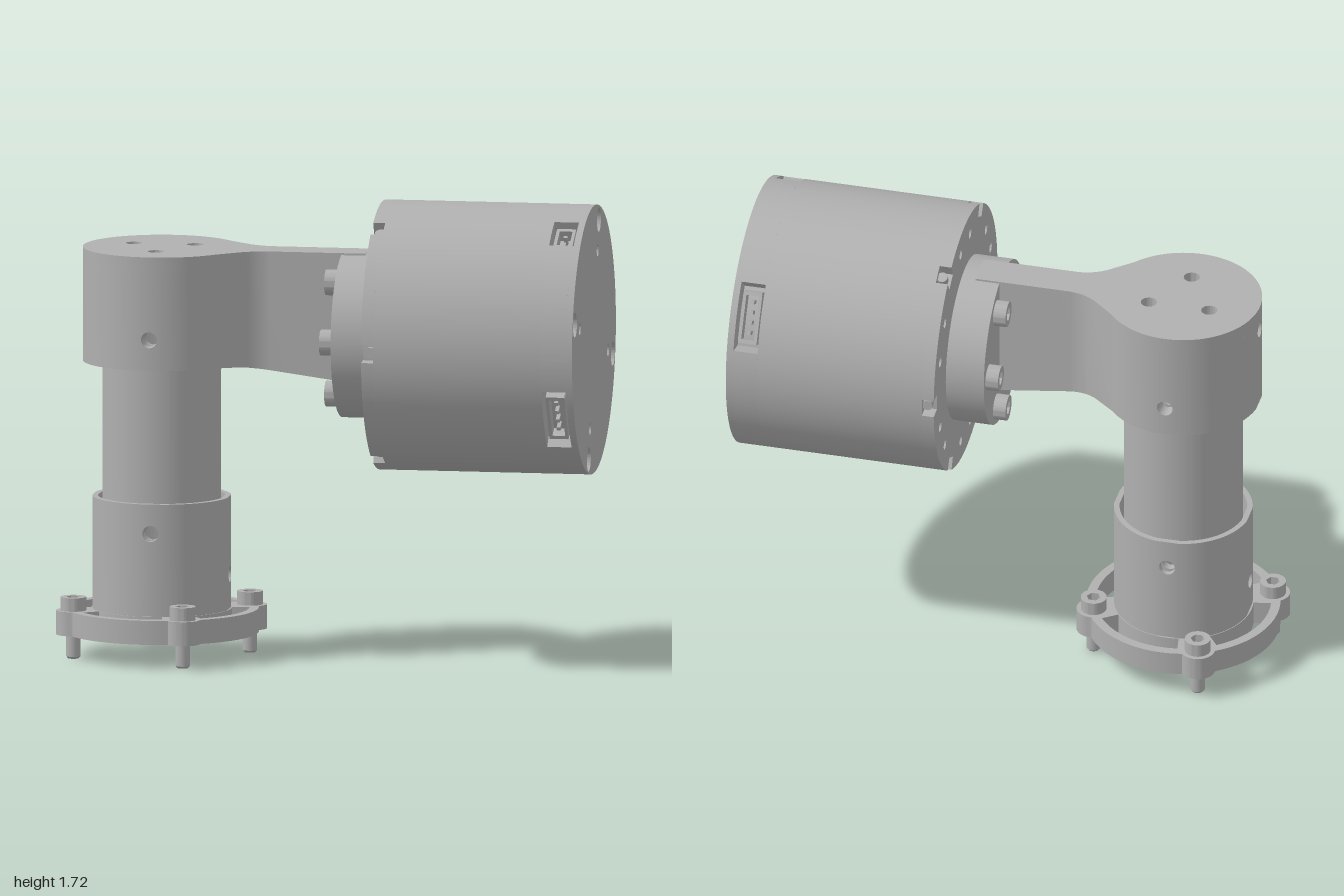
import * as THREE from 'three';
import { toCreasedNormals } from 'three/addons/utils/BufferGeometryUtils.js';

const TAU = Math.PI * 2, RAD = Math.PI / 180;
const POST_X = -0.625, MOTOR_Y = 1.22;
const metal = new THREE.MeshStandardMaterial({ color: 0xb0b0b0 });
metal.name = 'grey metal';

function add(parent, name, geometry, x = 0, y = 0, z = 0) {
  const mesh = new THREE.Mesh(geometry, metal);
  mesh.name = name;
  mesh.position.set(x, y, z);
  parent.add(mesh);
  return mesh;
}

function extrude(shape, depth, segs = 32) {
  return new THREE.ExtrudeGeometry(shape, { depth, bevelEnabled: false, curveSegments: segs });
}
// Extrusion standing on y0, and extrusion running along x from x0
const upright = (shape, y0, y1, segs) =>
  toCreasedNormals(extrude(shape, y1 - y0, segs).rotateX(-Math.PI / 2).translate(0, y0, 0), 0.5);
const sideways = (shape, x0, x1, segs) =>
  toCreasedNormals(extrude(shape, x1 - x0, segs).rotateY(Math.PI / 2).translate(x0, 0, 0), 0.5);

const circle = (x, y, r) => new THREE.Path().absarc(x, y, r, 0, TAU, true);
const polarHole = (deg, d, r) => circle(d * Math.cos(deg * RAD), d * Math.sin(deg * RAD), r);
function arcSlot(a0, a1, r0, r1) {
  const p = new THREE.Path();
  p.absarc(0, 0, r1, a0 * RAD, a1 * RAD, false);
  p.absarc(0, 0, r0, a1 * RAD, a0 * RAD, true);
  p.closePath();
  return p;
}
function disc(r) {
  return new THREE.Shape().absarc(0, 0, r, 0, TAU, false);
}
// Disc whose rim is cut by notches given as [angle, half width, depth] in degrees
function notchedDisc(r, notches) {
  const s = new THREE.Shape();
  notches.forEach(([a, half, depth], i) => {
    const next = notches[(i + 1) % notches.length];
    const end = next[0] - next[1] + (i === notches.length - 1 ? 360 : 0);
    s.absarc(0, 0, r - depth, (a - half) * RAD, (a + half) * RAD, false);
    s.absarc(0, 0, r, (a + half) * RAD, end * RAD, false);
  });
  s.closePath();
  return s;
}

// Narrow strip of tube wall, bent to the radius and drilled at the given heights
function drilledStrip(rOut, rIn, y0, y1, w, angle, heights) {
  const s = new THREE.Shape();
  s.moveTo(-w, y0); s.lineTo(w, y0); s.lineTo(w, y1); s.lineTo(-w, y1); s.closePath();
  heights.forEach(y => s.holes.push(circle(0, y, 0.03)));
  const g = extrude(s, rOut - rIn, 12);
  const p = g.attributes.position, n = g.attributes.normal;
  for (let i = 0; i < p.count; i++) {
    const a = angle + p.getX(i) / rOut, r = rIn + p.getZ(i);
    const sn = Math.sin(a), cs = Math.cos(a), nx = n.getX(i), nz = n.getZ(i);
    p.setXYZ(i, r * sn, p.getY(i), r * cs);
    n.setXYZ(i, nx * cs + nz * sn, n.getY(i), nz * cs - nx * sn);
  }
  return g;
}
// Tube with cross holes; drills are [angle from +z in degrees, heights], in rising order
function drilledTube(parent, name, rOut, rIn, y0, y1, drills) {
  const g = new THREE.Group();
  g.name = name;
  g.position.x = POST_X;
  const w = 0.045, half = w / rOut / RAD;
  drills.forEach(([a, heights], i) => {
    add(g, name + 'DrilledStrip', drilledStrip(rOut, rIn, y0, y1, w, a * RAD, heights));
    const end = i + 1 < drills.length ? drills[i + 1][0] : drills[0][0] + 360;
    const t0 = (a + half - 90) * RAD, t1 = (end - half - 90) * RAD;
    const s = new THREE.Shape();
    s.absarc(0, 0, rOut, t0, t1, false);
    s.absarc(0, 0, rIn, t1, t0, true);
    s.closePath();
    add(g, name + 'Wall', upright(s, y0, y1, 28));
  });
  parent.add(g);
}

// Socket head screw, head upward from its origin
function screw(parent, name, r, h, shankR, shankL, x, y, z, tilt = 0) {
  const g = new THREE.Group();
  g.name = name;
  const head = disc(r), hex = new THREE.Path();
  for (let i = 0; i < 6; i++) {
    const px = r * 0.55 * Math.cos(-i * 60 * RAD), py = r * 0.55 * Math.sin(-i * 60 * RAD);
    i ? hex.lineTo(px, py) : hex.moveTo(px, py);
  }
  hex.closePath();
  head.holes.push(hex);
  add(g, 'screwHead', upright(head, 0, h));
  add(g, 'socketFloor', new THREE.CylinderGeometry(r * 0.6, r * 0.6, h * 0.35, 20), 0, h * 0.175, 0);
  add(g, 'screwShank', new THREE.CylinderGeometry(shankR, shankR, shankL - 0.008, 20), 0, -(shankL - 0.008) / 2, 0);
  add(g, 'screwTip', new THREE.CylinderGeometry(shankR, shankR * 0.75, 0.008, 20), 0, 0.004 - shankL, 0);
  g.position.set(x, y, z);
  g.rotation.z = tilt;
  parent.add(g);
}

function buildBase(model) {
  // Ring plate with four screw bosses, slots and hub openings
  const bosses = [22.75, 112.75, 202.75, 292.75], d = 0.336, rb = 0.064;
  const plate = new THREE.Shape();
  for (let deg = 0; deg < 360; deg += 1) {
    let r = 0.36;
    for (const b of bosses) {
      const off = (deg - b) * RAD, q = rb * rb - (d * Math.sin(off)) ** 2;
      if (q > 0 && Math.cos(off) > 0) r = Math.max(r, d * Math.cos(off) + Math.sqrt(q));
    }
    const px = r * Math.cos(deg * RAD), py = r * Math.sin(deg * RAD);
    deg ? plate.lineTo(px, py) : plate.moveTo(px, py);
  }
  plate.closePath();
  for (const b of bosses) plate.holes.push(arcSlot(b + 13, b + 77, 0.26, 0.325));
  for (const a of [30, 150, 270]) {
    plate.holes.push(polarHole(a, 0.133, 0.03));
    plate.holes.push(arcSlot(a + 32, a + 88, 0.09, 0.185));
  }
  add(model, 'basePlate', upright(plate, 0.09, 0.18), POST_X);
  for (const b of bosses)
    screw(model, 'baseScrew', 0.048, 0.05, 0.027, 0.18,
      POST_X + d * Math.cos(b * RAD), 0.18, -d * Math.sin(b * RAD));
}

function buildPost(model) {
  drilledTube(model, 'sleeve', 0.257, 0.236, 0.18, 0.6, [[0, [0.49]], [90, [0.31]], [180, [0.49]], [270, [0.31]]]);
  drilledTube(model, 'post', 0.22, 0.19, 0.18, 1.47,
    [[0, [0.49, 1.22]], [90, [0.31]], [180, [0.49, 1.22]], [270, [0.31, 1.43]]]);
  // Cap over the post
  drilledTube(model, 'cap', 0.292, 0.236, 1.105, 1.47, [[0, [1.22]], [180, [1.22]], [270, [1.43]]]);
  const top = disc(0.292);
  for (const a of [30, 150, 270]) top.holes.push(polarHole(a, 0.133, 0.03));
  add(model, 'capTop', upright(top, 1.47, 1.53, 64), POST_X);
}

function buildArm(model) {
  // Web flaring into the cap, with a gently falling underside
  const s = new THREE.Shape();
  s.moveTo(0.15, -0.067);
  s.lineTo(0.15, 0.067);
  s.lineTo(-0.2, 0.067);
  s.quadraticCurveTo(-0.26, 0.067, -0.31, 0.105);
  s.lineTo(-0.425, 0.207);
  s.absarc(POST_X, 0, 0.275, 45 * RAD, -45 * RAD, true);
  s.lineTo(-0.425, -0.207);
  s.lineTo(-0.31, -0.105);
  s.quadraticCurveTo(-0.26, -0.067, -0.2, -0.067);
  s.closePath();
  const g = extrude(s, 0.425, 12).rotateX(-Math.PI / 2).translate(0, 1.105, 0);
  const p = g.attributes.position;
  for (let i = 0; i < p.count; i++)
    if (p.getY(i) < 1.2) p.setY(i, 1.105 - 0.135 * Math.max(0, p.getX(i) + 0.35));
  add(model, 'arm', toCreasedNormals(g, 0.4));
  // Round flange with its ring of screws
  add(model, 'armFlange', sideways(disc(0.31), 0.06, 0.21, 64), 0, MOTOR_Y, 0);
  for (let i = 0; i < 6; i++)
    screw(model, 'flangeScrew', 0.048, 0.05, 0.025, 0.06, 0.062,
      MOTOR_Y + 0.24 * Math.sin(i * 60 * RAD), 0.24 * Math.cos(i * 60 * RAD), Math.PI / 2);
}

function buildMotor(model) {
  const motor = new THREE.Group();
  motor.name = 'motor';
  motor.position.y = MOTOR_Y;
  model.add(motor);
  // Rear collar with six rim notches and a ring of blind holes
  const notches = [0, 60, 120, 180, 240, 300].map(a => [a, 4, 0.05]);
  const collar = notchedDisc(0.5, notches);
  for (const [a] of notches) {
    collar.holes.push(polarHole(a + 20, 0.42, 0.02), polarHole(a + 40, 0.42, 0.02));
    const pin = add(motor, 'notchScrew', new THREE.CylinderGeometry(0.02, 0.02, 0.03, 16),
      0.235, 0.465 * Math.sin(a * RAD), 0.465 * Math.cos(a * RAD));
    pin.rotation.x = Math.PI / 2 - a * RAD;
  }
  add(motor, 'motorCollar', sideways(collar, 0.205, 0.25));
  add(motor, 'motorBody', sideways(disc(0.5), 0.25, 0.88, 64));
  // Band with three connector windows
  const windows = [[30, 15, 0.07], [120, 8, 0.07], [210, 15, 0.07]];
  add(motor, 'motorWindowBand', sideways(notchedDisc(0.5, windows), 0.88, 0.972, 40));
  for (const [a, half] of windows) {
    const socket = new THREE.Group();
    socket.name = 'connector';
    socket.rotation.x = (a - 90) * RAD;
    const w = half * RAD * 0.43 * 1.6;
    for (const s of [-1, 1]) {
      add(socket, 'connectorEnd', new THREE.BoxGeometry(0.07, 0.045, 0.015), 0.926, 0.452, s * w / 2);
      add(socket, 'connectorSide', new THREE.BoxGeometry(0.012, 0.045, w), 0.926 + s * 0.03, 0.452, 0);
    }
    const pins = half > 10 ? 4 : 2;
    for (let i = 0; i < pins; i++)
      add(socket, 'connectorPin', new THREE.BoxGeometry(0.014, 0.04, 0.014), 0.926, 0.445, ((i + 0.5) / pins - 0.5) * w * 0.85);
    motor.add(socket);
  }
  // Front plate with counterbored screws and dowel holes
  const face = disc(0.5);
  for (let k = 0; k < 4; k++) {
    const a = 75 + 90 * k;
    face.holes.push(polarHole(a, 0.447, 0.045), polarHole(a, 0.333, 0.023));
    screw(motor, 'faceScrew', 0.034, 0.014, 0.015, 0.02, 0.97,
      0.447 * Math.sin(a * RAD), -0.447 * Math.cos(a * RAD), -Math.PI / 2);
  }
  add(motor, 'motorFace', sideways(face, 0.972, 0.997, 64));
}

export function createModel() {
  const model = new THREE.Group();
  model.name = 'motorOnPost';
  buildBase(model);
  buildPost(model);
  buildArm(model);
  buildMotor(model);
  return model;
}
